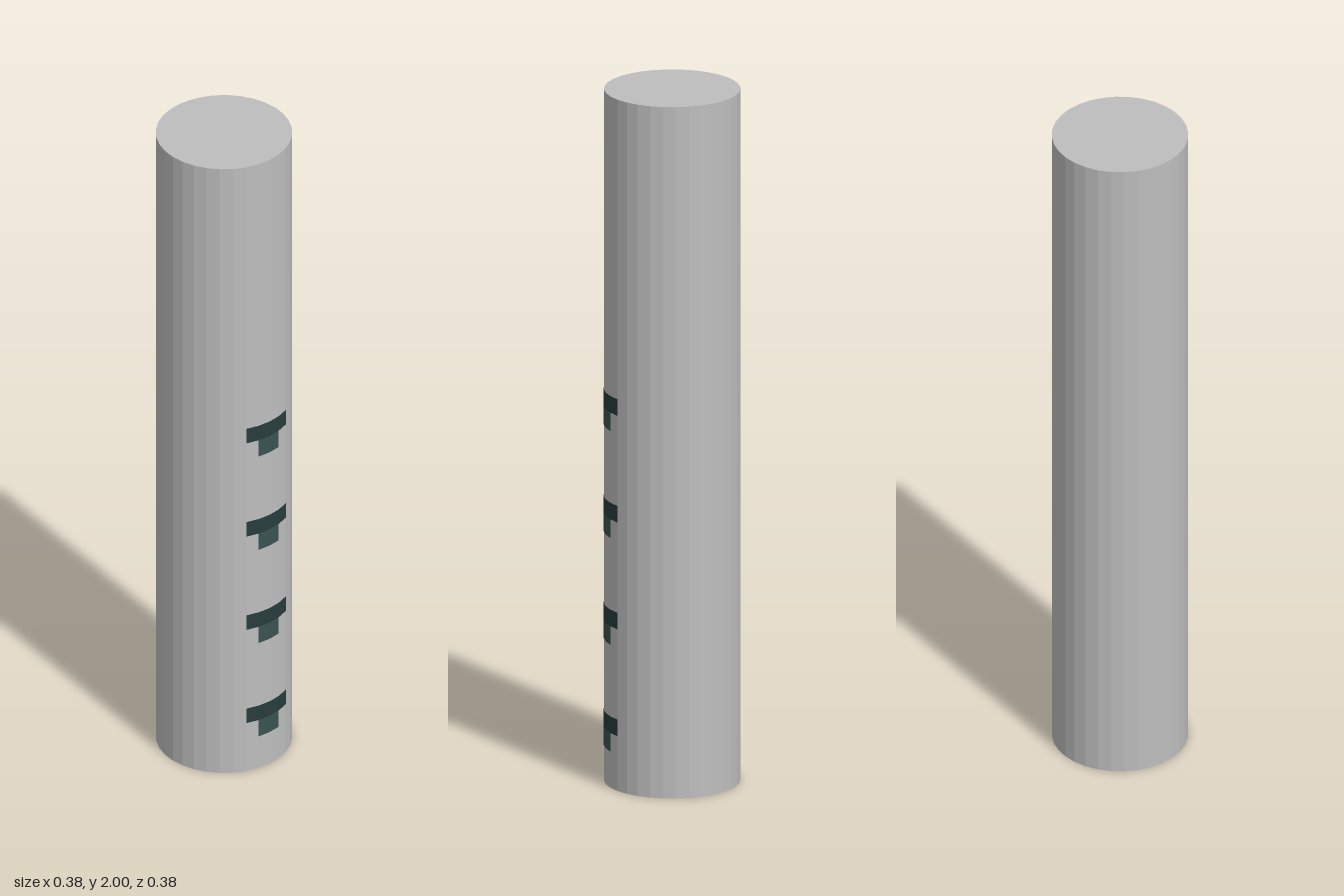
import * as THREE from 'three';

const SIDES = 32;
const STEP = (Math.PI * 2) / SIDES;
const RADIUS = 0.19;

function material(name, color) {
  const m = new THREE.MeshStandardMaterial({ color, flatShading: true });
  m.name = name;
  return m;
}

// Thin plate wrapped over whole facets of the column, counted from the front
function facetPlate(name, mat, firstFacet, facets, bottom, top) {
  const geo = new THREE.CylinderGeometry(
    RADIUS + 0.001, RADIUS + 0.001, top - bottom, facets, 1, true,
    firstFacet * STEP, facets * STEP
  );
  const mesh = new THREE.Mesh(geo, mat);
  mesh.name = name;
  mesh.position.y = (bottom + top) / 2;
  return mesh;
}

export function createModel() {
  const model = new THREE.Group();
  model.name = 'column';
  const grey = material('column grey', 0xbebebe);
  const darkSlate = material('dark slate', 0x283c3c);
  const slate = material('slate', 0x3a5252);
  slate.side = darkSlate.side = THREE.DoubleSide;

  // Column
  const shaft = new THREE.Mesh(new THREE.CylinderGeometry(RADIUS, RADIUS, 2, SIDES), grey);
  shaft.name = 'shaft';
  shaft.position.y = 1;
  model.add(shaft);

  // Four T-shaped steps up one side
  for (let i = 0; i < 4; i++) {
    const step = new THREE.Group();
    step.name = 'step' + (i + 1);
    step.add(facetPlate('stepBar', darkSlate, 5, 4, 0.054, 0.102));
    step.add(facetPlate('stepStem', slate, 6, 2, 0, 0.054));
    step.position.y = 0.105 + i * 0.309;
    model.add(step);
  }
  return model;
}
